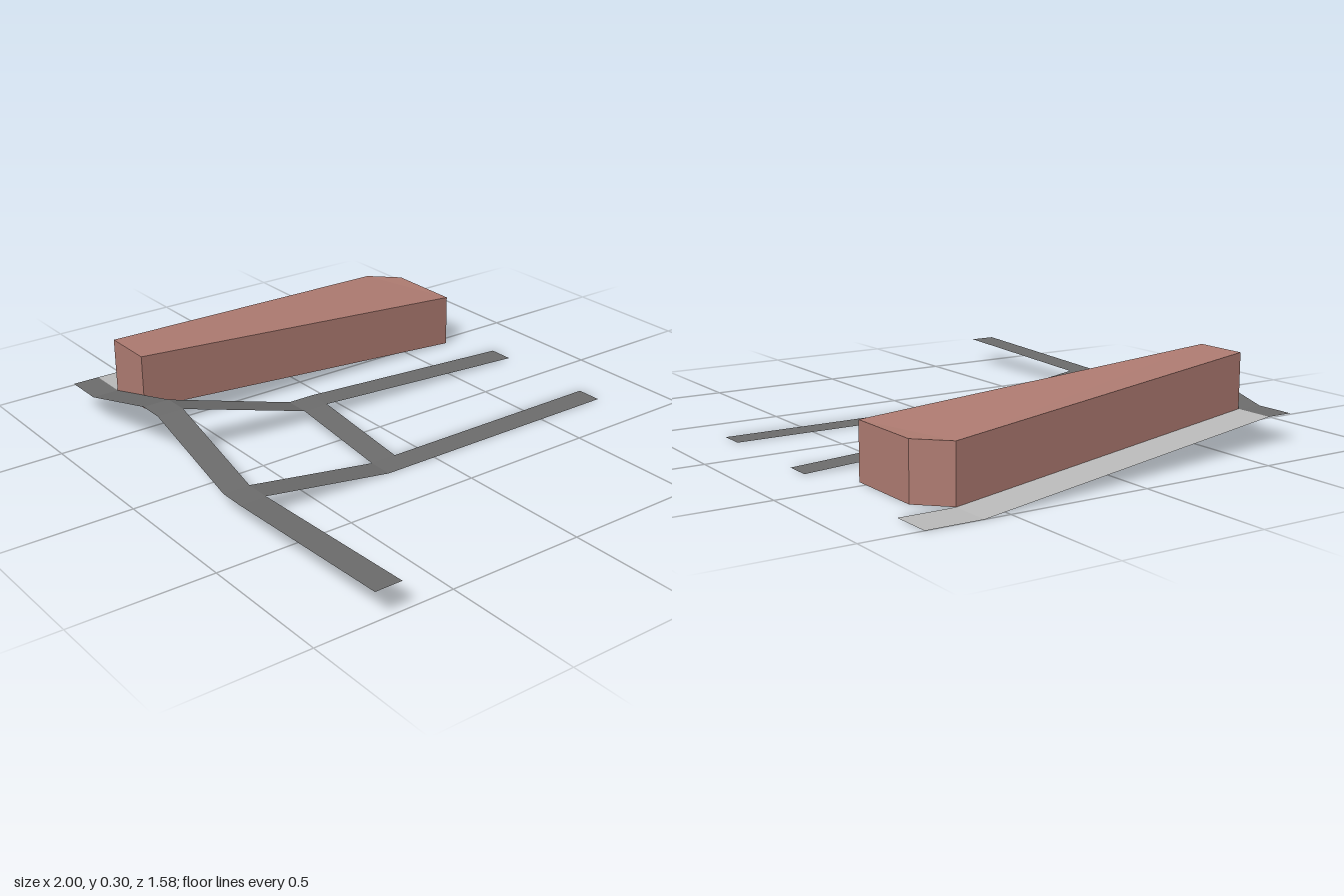
import * as THREE from 'three';

const asphalt = new THREE.MeshStandardMaterial({ color: 0x6c6c6c, side: THREE.DoubleSide });
asphalt.name = 'asphalt grey';
const paving = new THREE.MeshStandardMaterial({ color: 0xbababa, side: THREE.DoubleSide });
paving.name = 'paving light grey';
const brick = new THREE.MeshStandardMaterial({ color: 0xae7b71, side: THREE.DoubleSide });
brick.name = 'brick red';

// Flat-shaded sheet from quads given as corner lists (counter-clockwise from outside)
function sheet(name, polygons, material) {
  const pos = [];
  for (const p of polygons)
    for (let i = 1; i < p.length - 1; i++) pos.push(...p[0], ...p[i], ...p[i + 1]);
  const geo = new THREE.BufferGeometry();
  geo.setAttribute('position', new THREE.Float32BufferAttribute(pos, 3));
  geo.computeVertexNormals();
  const mesh = new THREE.Mesh(geo, material);
  mesh.name = name;
  return mesh;
}

// Road running along z; rows are [z, y, x of left edge, x of right edge], front to back
function roadZ(name, rows, material) {
  const quads = [];
  for (let i = 0; i < rows.length - 1; i++) {
    const [z0, y0, a0, b0] = rows[i], [z1, y1, a1, b1] = rows[i + 1];
    quads.push([[a0, y0, z0], [b0, y0, z0], [b1, y1, z1], [a1, y1, z1]]);
  }
  return sheet(name, quads, material);
}

// Road running along x between two z values; rows are [x, y]
function roadX(name, rows, zBack, zFront, material) {
  const quads = [];
  for (let i = 0; i < rows.length - 1; i++) {
    const [x0, y0] = rows[i], [x1, y1] = rows[i + 1];
    quads.push([[x0, y0, zFront], [x1, y1, zFront], [x1, y1, zBack], [x0, y0, zBack]]);
  }
  return sheet(name, quads, material);
}

export function createModel() {
  const model = new THREE.Group();
  model.name = 'streetBlock';
  const Z = 0.69, E = 0.788;

  // Main street across the front, rising and dipping at each junction
  model.add(roadX('mainStreet', [
    [-0.803, 0.099], [-0.655, 0.099], [-0.283, 0.197], [-0.187, 0.197],
    [0.21, 0.074], [0.305, 0.074], [1, 0.099],
  ], Z, E, asphalt));

  // Two side streets and the link between them
  model.add(roadZ('upperSideStreet', [
    [Z, 0.197, -0.283, -0.187], [0.197, 0.049, -0.283, -0.187],
    [0.098, 0.049, -0.283, -0.187], [-E, 0, -0.283, -0.187],
  ], asphalt));
  model.add(roadZ('lowerSideStreet', [
    [Z, 0.074, 0.21, 0.305], [0.197, 0, 0.21, 0.305], [-E, 0, 0.21, 0.305],
  ], asphalt));
  model.add(roadX('linkStreet', [[-0.187, 0.049], [0.21, 0]], 0.098, 0.197, asphalt));

  // Slanting pale lane beside the building
  model.add(roadZ('paleLane', [
    [Z, 0.099, -0.803, -0.655], [-0.59, 0, -1, -0.852], [-E, 0, -1, -0.852],
  ], paving));

  // Building: walls following the sloping ground, flat-sided roof, open underneath
  const plan = [[-0.655, Z], [-0.459, Z], [-0.459, -Z], [-0.754, -Z], [-0.852, -0.59]];
  const ground = z => (z < -0.5 ? 0 : 0.099);
  const H = 0.197;
  const walls = plan.map(([x0, z0], i) => {
    const [x1, z1] = plan[(i + 1) % plan.length];
    const y0 = ground(z0), y1 = ground(z1);
    return [[x0, y0, z0], [x1, y1, z1], [x1, y1 + H, z1], [x0, y0 + H, z0]];
  });
  const building = new THREE.Group();
  building.name = 'building';
  building.add(sheet('walls', walls, brick));
  // Roof fan starts at the back chamfer so its crease runs as one sloping plane plus a flat tip
  const order = [4, 0, 1, 2, 3];
  building.add(sheet('roof', [order.map(i => [plan[i][0], ground(plan[i][1]) + H, plan[i][1]])], brick));
  model.add(building);

  return model;
}
